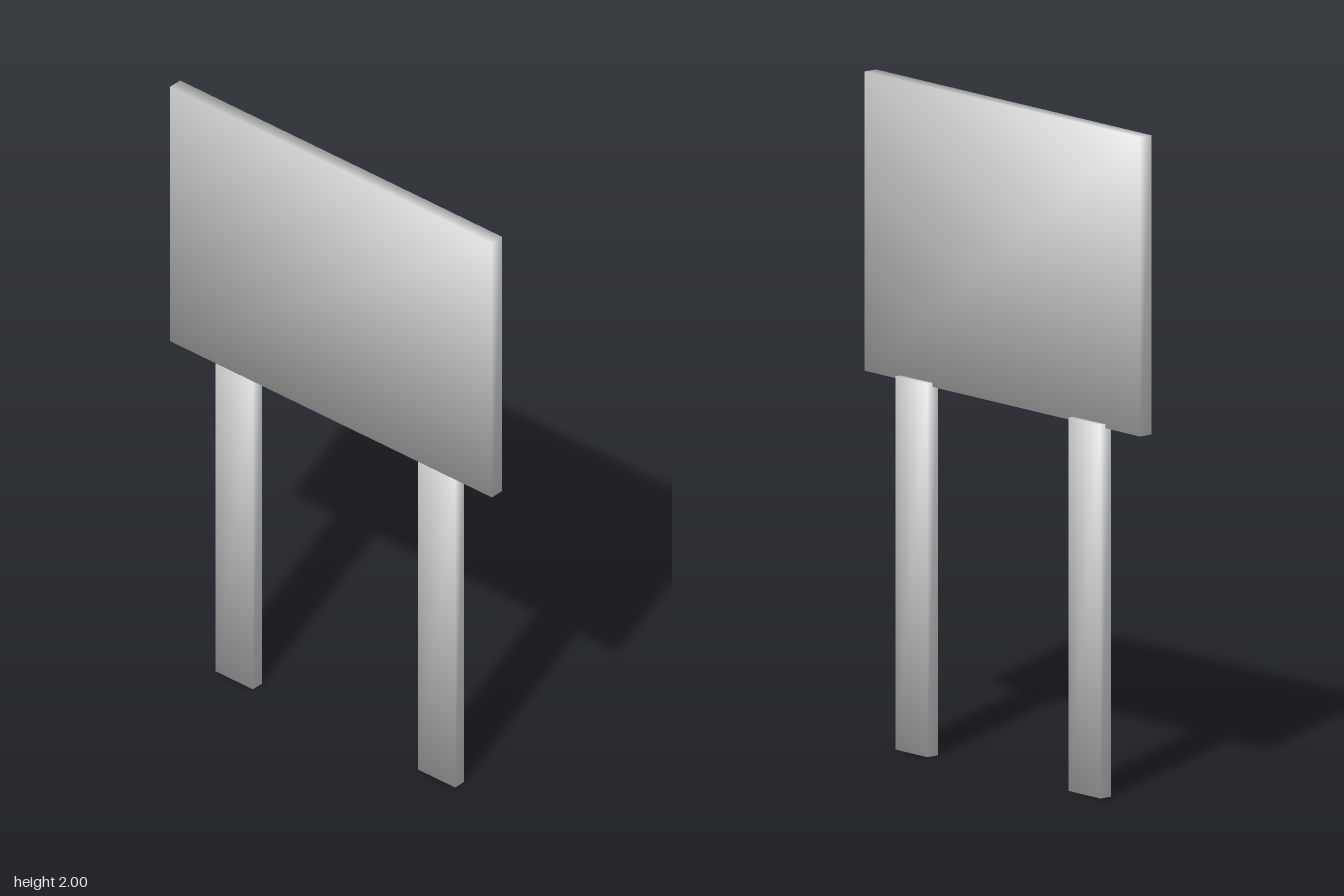
import * as THREE from 'three';
import { mergeVertices } from 'three/addons/utils/BufferGeometryUtils.js';

const material = new THREE.MeshStandardMaterial({ color: 0xcccccc });

// Box between two corners, shaded softly: each shared corner's normal points out along its diagonal
function slab(name, [x0, y0, z0], [x1, y1, z1]) {
  const box = new THREE.BoxGeometry(2, 2, 2);
  box.deleteAttribute('normal');
  box.deleteAttribute('uv');
  const geometry = mergeVertices(box);
  geometry.setAttribute('normal', geometry.attributes.position.clone());
  geometry.normalizeNormals();

  // Size the positions only, so the normals keep their even diagonals
  const position = geometry.attributes.position;
  position.applyMatrix4(new THREE.Matrix4().makeScale((x1 - x0) / 2, (y1 - y0) / 2, (z1 - z0) / 2));

  const mesh = new THREE.Mesh(geometry, material);
  mesh.name = name;
  mesh.position.set((x0 + x1) / 2, (y0 + y1) / 2, (z0 + z1) / 2);
  return mesh;
}

export function createModel() {
  const sign = new THREE.Group();
  sign.name = 'signboard';

  // Flat board, in front of the posts
  sign.add(slab('board', [-0.627, 1.105, -0.013], [0.627, 2, 0.032]));

  // Two flat posts, their tops just overlapping the back of the board
  for (const [name, x] of [['rightPost', -0.3975], ['leftPost', 0.3905]]) {
    sign.add(slab(name, [x - 0.0725, 0, -0.032], [x + 0.0725, 1.117, 0.008]));
  }
  return sign;
}
